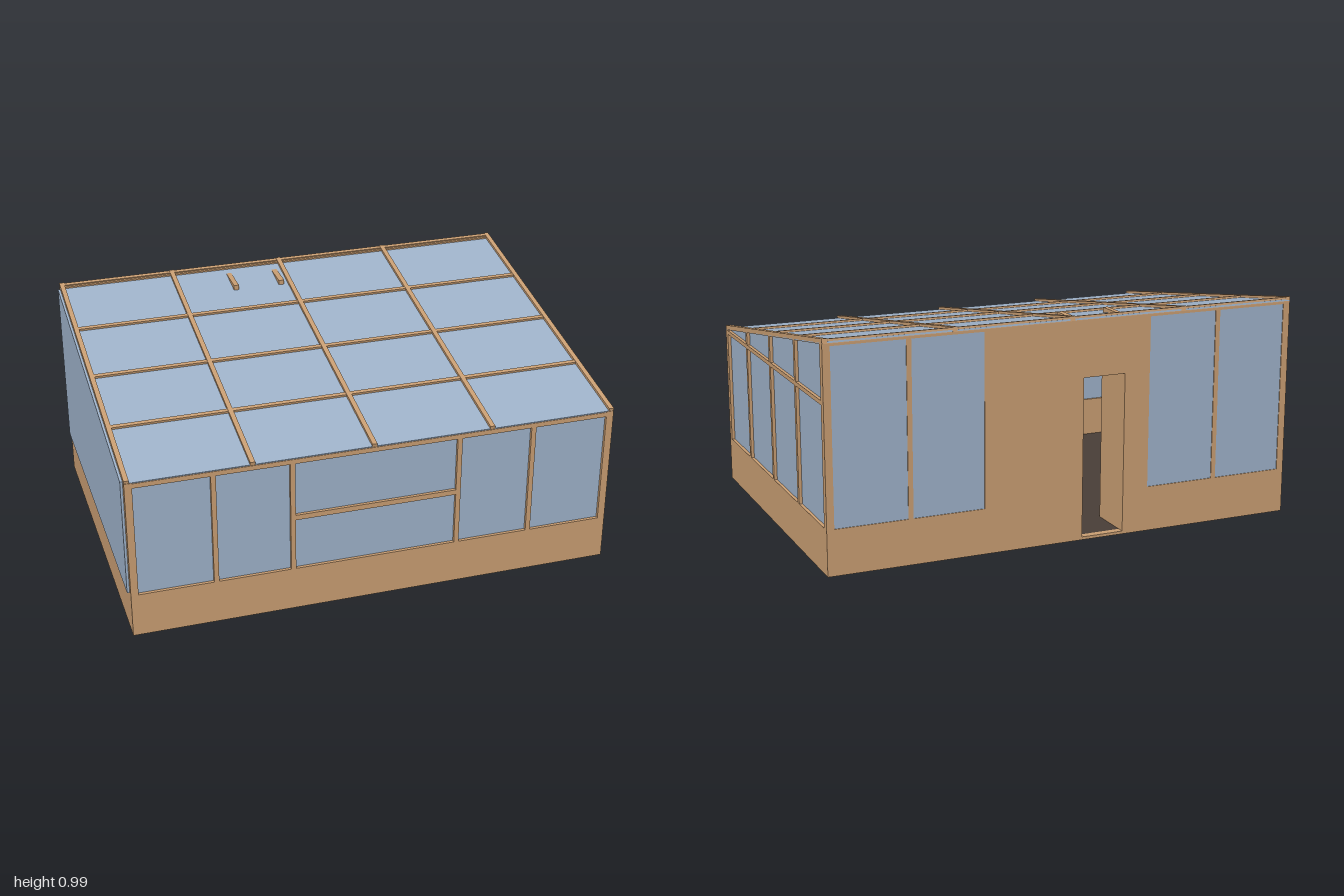
import * as THREE from 'three';

const mat = (color, side = THREE.FrontSide) =>
  new THREE.MeshStandardMaterial({ color, side, flatShading: true });

export function createModel() {
  const model = new THREE.Group();
  model.name = 'gardenRoom';
  const wood = mat(0xcca074), glass = mat(0xa0b4cc), dark = mat(0x4a3f38);
  const olive = mat(0x6b5522), slab = mat(0x4a2c14, THREE.DoubleSide), grey = mat(0x8a8378);

  // Box given by its limits on each axis
  function box(name, m, x0, x1, y0, y1, z0, z1, parent = model) {
    const mesh = new THREE.Mesh(new THREE.BoxGeometry(x1 - x0, y1 - y0, z1 - z0), m);
    mesh.position.set((x0 + x1) / 2, (y0 + y1) / 2, (z0 + z1) / 2);
    mesh.name = name;
    parent.add(mesh);
    return mesh;
  }
  const L = -0.99, R = 1.0, F = 0.69, B = -0.69, Y0 = 0.08, SILL = 0.265;
  const roofY = z => 0.885 - 0.1594 * z;

  // Floor and low plinth walls
  box('floor', dark, L + 0.01, R - 0.01, Y0, Y0 + 0.012, B + 0.01, F - 0.01);
  box('frontPlinth', wood, L, R, Y0, SILL, F - 0.03, F);
  box('rightPlinth', wood, L, L + 0.03, Y0, SILL, B, F);
  box('leftPlinth', wood, R - 0.03, R, Y0, SILL, B, F);

  // Front posts, rails and glazing
  for (const x of [-0.98, -0.65, -0.338, 0.345, 0.657, 0.99])
    box('frontPost', wood, x - 0.01, x + 0.01, SILL, 0.745, F - 0.03, F);
  box('frontHeader', wood, L, R, 0.74, 0.76, F - 0.03, F);
  box('frontMidRail', wood, -0.338, 0.345, 0.488, 0.51, F - 0.03, F);
  box('frontGlass', glass, L + 0.01, R - 0.01, SILL, 0.745, F - 0.02, F - 0.013);

  // Sloped gable pane: shape x runs along z, depth runs towards -x
  function gablePane(name, x, depth, z0, z1, drop) {
    const s = new THREE.Shape([
      new THREE.Vector2(z0, SILL), new THREE.Vector2(z1, SILL),
      new THREE.Vector2(z1, roofY(z1) - drop), new THREE.Vector2(z0, roofY(z0) - drop)]);
    const mesh = new THREE.Mesh(new THREE.ExtrudeGeometry(s, { depth, bevelEnabled: false }), glass);
    mesh.rotation.y = -Math.PI / 2;
    mesh.position.x = x;
    mesh.name = name;
    model.add(mesh);
  }
  gablePane('leftGlass', R - 0.013, 0.007, B + 0.01, F - 0.01, 0.015);
  gablePane('rightGlass', L, 0.01, -0.67, 0.665, 0.018);

  // Gable posts and rails on both sides
  for (const [x0, x1] of [[R - 0.03, R], [L, L + 0.03]]) {
    for (const z of [0.68, 0.355, 0.01, -0.335, -0.68])
      box('gablePost', wood, x0, x1, SILL, roofY(z) - 0.014, z - 0.01, z + 0.01);
    box('gableRail', wood, x0, x1, 0.74, 0.757, B, F);
  }

  // Back wall with a doorway and two wide window openings
  const rect = (P, x0, x1, y0, y1) => {
    const p = new P();
    p.moveTo(x0, y0).lineTo(x1, y0).lineTo(x1, y1).lineTo(x0, y1).closePath();
    return p;
  };
  const wall = rect(THREE.Shape, L, R, Y0, 0.985);
  const windows = [[-0.975, -0.35], [0.36, 0.985]];
  wall.holes.push(rect(THREE.Path, -0.24, -0.06, 0.092, 0.745));
  for (const [a, b] of windows) wall.holes.push(rect(THREE.Path, a, b, SILL, 0.965));
  const back = new THREE.Mesh(new THREE.ExtrudeGeometry(wall, { depth: 0.03, bevelEnabled: false }), wood);
  back.position.z = B;
  back.name = 'backWall';
  model.add(back);
  for (const [a, b] of windows) {
    const mid = (a + b) / 2 + (a < 0 ? 0.008 : -0.008);
    box('backGlass', glass, a, b, SILL, 0.965, B + 0.003, B + 0.01);
    box('backMullion', wood, mid - 0.01, mid + 0.01, SILL, 0.965, B, B + 0.03);
  }

  // Entrance partitions, just breaking through the roof near the back
  box('entrancePartition', wood, -0.06, -0.036, 0.092, 0.972, B + 0.03, -0.49);
  box('entrancePartition', wood, -0.262, -0.24, 0.092, 0.974, B + 0.03, -0.49);

  // Sloped roof: rafters, purlins and one glass sheet in a tilted group
  const roof = new THREE.Group();
  roof.name = 'roof';
  roof.position.set(0, roofY(F), F);
  roof.rotation.x = Math.atan(0.1594);
  model.add(roof);
  const len = 1.38 * Math.hypot(1, 0.1594);
  for (const x of [-0.98, -0.495, -0.008, 0.48, 0.99])
    box('rafter', wood, x - 0.01, x + 0.01, -0.02, 0, -len, 0, roof);
  for (const z of [-0.68, -0.335, 0.008, 0.35]) {
    const c = (z - F) * len / 1.38;
    box('purlin', wood, L, R, -0.02, -0.002, c - 0.009, c + 0.009, roof);
  }
  box('roofGlass', glass, L, R, -0.018, -0.011, -len, 0, roof);

  // Rugged slab below the floor: rings of one outline, from ceiling to underside
  const outline = [[-0.24, 0.29, 0.01], [-0.40, 0.44, 0.02], [-0.51, 0.28, 0.035], [-0.64, 0.29, 0.03],
    [-0.71, 0.19, 0.025], [-0.76, 0, 0.02], [-0.5, -0.02, 0.02], [-0.22, -0.04, 0], [-0.2, 0.15, 0.005]];
  const cx = -0.47, cz = 0.15, n = outline.length, pos = [], idx = [];
  const rings = [[0.78, () => 0.085], [1, y => y + 0.04], [1, y => y], [0.6, y => 0.02 + y * 0.5]];
  for (const [k, fy] of rings)
    for (const [x, z, y] of outline) pos.push(cx + (x - cx) * k, fy(y), cz + (z - cz) * k);
  pos.push(cx, 0.035, cz);
  for (let i = 0; i < n; i++) {
    const j = (i + 1) % n;
    for (let r = 0; r < 3; r++) {
      const a = r * n + i, b = r * n + j;
      idx.push(a, a + n, b, b, a + n, b + n);
    }
    idx.push(3 * n + i, 4 * n, 3 * n + j);
  }
  const g = new THREE.BufferGeometry();
  g.setAttribute('position', new THREE.Float32BufferAttribute(pos, 3));
  g.setIndex(idx);
  g.computeVertexNormals();
  const rock = new THREE.Mesh(g, slab);
  rock.name = 'undersideSlab';
  model.add(rock);

  // Small shallow lumps showing through the floor
  for (const [x, z, rx, rz, m] of [[0.37, 0.18, 0.1, 0.08, olive], [-0.865, 0.55, 0.07, 0.07, olive],
    [0.59, -0.59, 0.06, 0.035, grey]]) {
    const lump = new THREE.Mesh(new THREE.SphereGeometry(1, 12, 6), m);
    lump.scale.set(rx, 0.014, rz);
    lump.position.set(x, 0.08, z);
    lump.name = 'floorLump';
    model.add(lump);
  }
  for (let i = 0; i < 3; i++)
    box('floorSlat', olive, 0.26 + i * 0.04, 0.28 + i * 0.04, 0.074, 0.085, -0.09, 0);
  box('floorPatch', slab, 0.25, 0.38, 0.078, 0.085, -0.64, -0.51);
  box('floorStrip', olive, -0.26, -0.04, 0.078, 0.085, -0.48, -0.465);
  return model;
}
